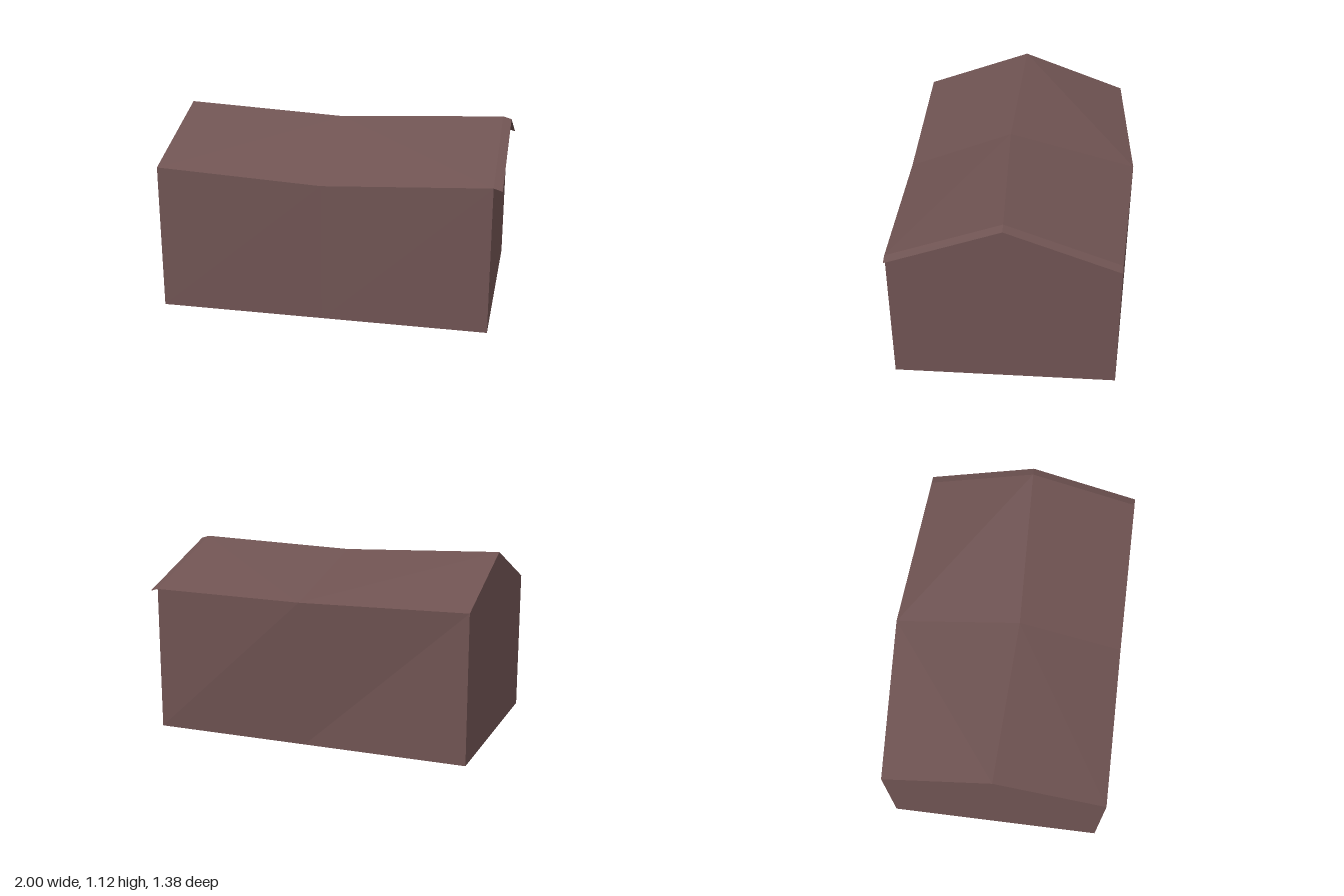
import * as THREE from 'three';

// Each section runs: front base, front eave, ridge, back eave, back base, as [z, y]
const endProfile = [[0.69, 0], [0.69, 0.87], [0.035, 1.115], [-0.615, 0.87], [-0.615, 0]];
const midProfile = [[0.69, 0], [0.69, 0.82], [0.07, 1.075], [-0.685, 0.87], [-0.615, 0]];
const section = (x, profile, drop = 0) => profile.map(([z, y]) => [x, y - drop, z]);

function meshFrom(name, triangles, material) {
  const geometry = new THREE.BufferGeometry();
  geometry.setAttribute('position', new THREE.Float32BufferAttribute(triangles.flat(2), 3));
  geometry.computeVertexNormals();
  const mesh = new THREE.Mesh(geometry, material);
  mesh.name = name;
  return mesh;
}

// Two triangles joining edge i of section A to the same edge of section B
function strip(A, B, i, flip = false) {
  const j = (i + 1) % A.length;
  const [a, b, c, d] = [A[i], B[i], B[j], A[j]];
  return flip ? [[a, b, d], [b, c, d]] : [[a, b, c], [a, c, d]];
}

const fan = (p) => [[p[0], p[1], p[2]], [p[0], p[2], p[3]], [p[0], p[3], p[4]]];

export function createModel() {
  const group = new THREE.Group();
  group.name = 'house';
  const brown = new THREE.MeshStandardMaterial({ color: 0x6e5251, side: THREE.DoubleSide, flatShading: true });
  brown.name = 'dull brown';

  const left = section(-1, endProfile);
  const middle = section(-0.02, midProfile);
  const right = section(0.95, endProfile);
  const lip = section(1, endProfile, 0.015);

  // Long walls and floor, the back wall bulging at its middle eave
  const walls = (i) => [...strip(left, middle, i), ...strip(middle, right, i)];
  group.add(meshFrom('frontWall', walls(0), brown));
  group.add(meshFrom('backWall', walls(3), brown));
  group.add(meshFrom('floor', walls(4), brown));

  // Gable ends
  group.add(meshFrom('rightGable', fan(left), brown));
  group.add(meshFrom('leftGable', fan([...right].reverse()), brown));

  // Sagging roof slopes, each with a thin drooping lip past one gable
  [['frontRoof', 1], ['backRoof', 2]].forEach(([name, i]) => {
    group.add(meshFrom(name, [...strip(left, middle, i), ...strip(middle, right, i, true)], brown));
    group.add(meshFrom(name + 'Lip', strip(right, lip, i), brown));
  });

  return group;
}
